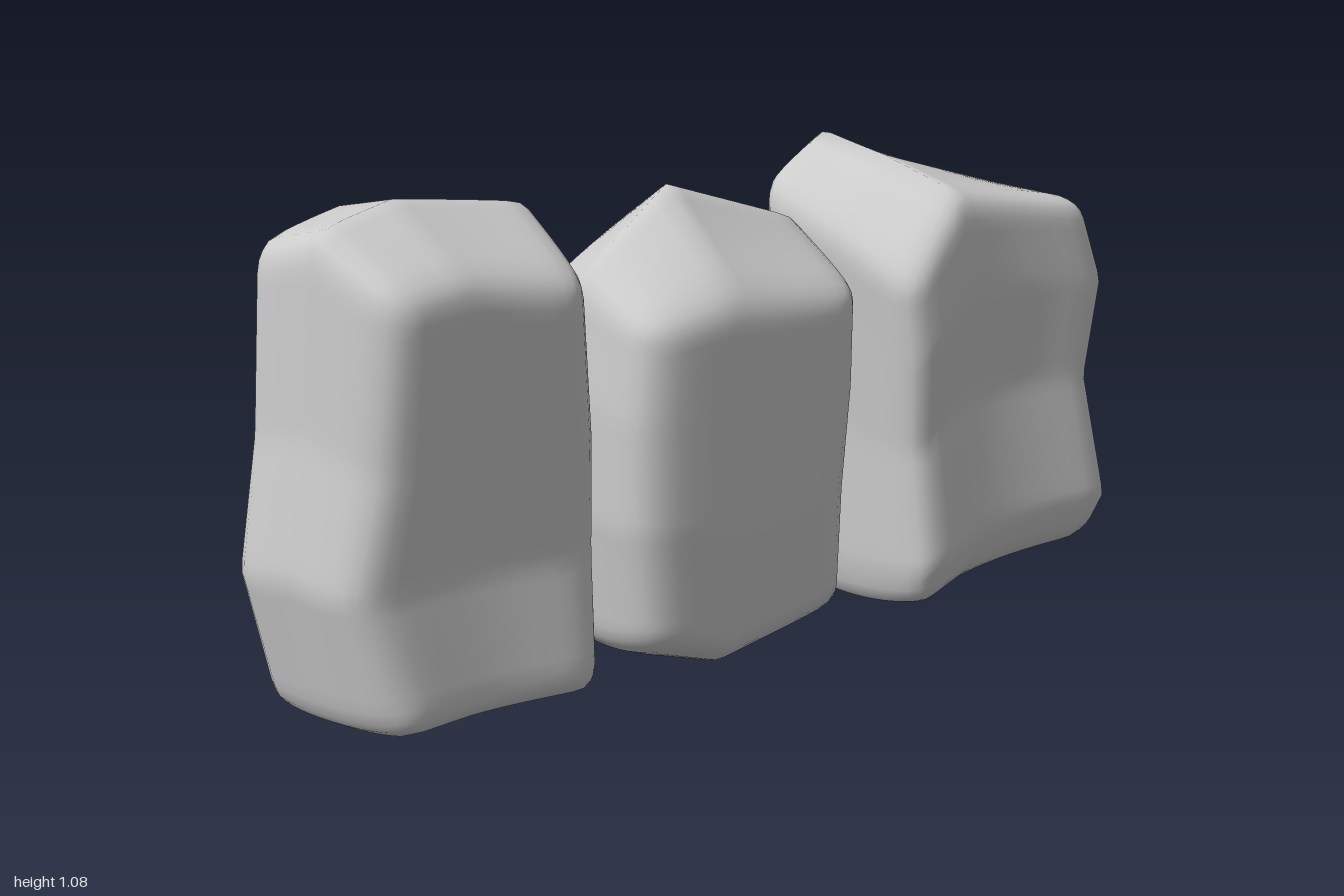
import * as THREE from 'three';
import { mergeVertices } from 'three/addons/utils/BufferGeometryUtils.js';

const { lerp, clamp } = THREE.MathUtils;
const material = new THREE.MeshStandardMaterial({ color: 0xcccccc, roughness: 0.9 });

// Value at s on a polyline through (-1, a), (knot, b), (1, c)
function bend([a, b, c], knot, s) {
  return s < knot ? lerp(a, b, (s + 1) / (knot + 1)) : lerp(b, c, (s - knot) / (1 - knot));
}

// Section [left, right, back, front] at height t
function sectionAt(rows, t) {
  let i = 0;
  while (i < rows.length - 2 && t > rows[i + 1][0]) i++;
  const [a, b] = [rows[i], rows[i + 1]];
  return [1, 2, 3, 4].map((k) => lerp(a[k], b[k], (t - a[0]) / (b[0] - a[0])));
}

// A block with rounded edges, fitted to its sections and to an uneven top and bottom.
// sections: rows of [height 0..1, left, right, back, front]
// top: heights in rows from back to front; bottom: heights back, middle, front
// peak: where the middle row lies; sag: rise of the bottom towards the sides
// skew: turn of the front face; pinch: hollow of the +x side; barrel: pull on the upright corners
function stone(name, { sections, top, bottom, peak, sag, skew, pinch, barrel }) {
  const half = new THREE.Vector3(0.23, 0.48, 0.28), radius = 0.055;
  let geometry = new THREE.BoxGeometry(0.46, 0.96, 0.56, 16, 32, 16);
  geometry.deleteAttribute('uv');
  geometry.deleteAttribute('normal');
  geometry = mergeVertices(geometry);
  const pos = geometry.attributes.position;
  const p = new THREE.Vector3(), inner = new THREE.Vector3();
  for (let i = 0; i < pos.count; i++) {
    // Round the edges
    p.fromBufferAttribute(pos, i);
    for (const axis of ['x', 'y', 'z']) inner[axis] = clamp(p[axis], radius - half[axis], half[axis] - radius);
    p.sub(inner).setLength(radius).add(inner).divide(half);
    // Fit to the sections, with a swollen -x side
    const { x: u, z: w } = p;
    const t = (p.y + 1) / 2;
    const fx = (u * (1 - barrel * w ** 4) + 1) / 2, fz = (w * (1 - barrel * u ** 4) + 1) / 2;
    const [left, right, back, front] = sectionAt(sections, t);
    const swell = (1 - w * w) * lerp(0.02, pinch, fx);
    const floor = bend(bottom, peak, w) + 0.015 * u + sag * u * u;
    const roof = bend(top.map((row) => bend(row, 0, u)), peak, w);
    pos.setXYZ(i, lerp(left, right, fx) - swell, lerp(floor, roof, t), lerp(back, front - skew * u, fz));
  }
  geometry.computeVertexNormals();
  const mesh = new THREE.Mesh(geometry, material);
  mesh.name = name;
  return mesh;
}

export function createModel() {
  const group = new THREE.Group();
  group.name = 'standingStones';

  // Flat-topped stone with a bulging front
  group.add(stone('frontStone', {
    sections: [
      [0, -0.19, 0.25, 0.38, 0.91],
      [0.32, -0.19, 0.21, 0.36, 0.98],
      [0.6, -0.2, 0.23, 0.37, 0.93],
      [1, -0.19, 0.26, 0.41, 0.91],
    ],
    top: [[0.96, 1.04, 0.92], [1.03, 1.085, 0.96], [0.99, 1.05, 0.95]],
    bottom: [0.04, 0.05, 0.05],
    peak: 0.25, sag: 0.02, skew: 0.04, pinch: 0.03, barrel: 0.09,
  }));

  // Stone with a pointed top and a rounded foot
  group.add(stone('middleStone', {
    sections: [
      [0, -0.2, 0.23, -0.26, 0.27],
      [0.38, -0.26, 0.25, -0.26, 0.31],
      [0.7, -0.23, 0.25, -0.28, 0.31],
      [1, -0.2, 0.25, -0.28, 0.29],
    ],
    top: [[0.79, 0.9, 0.79], [0.87, 1.025, 0.83], [0.78, 0.87, 0.8]],
    bottom: [0.06, 0.005, 0.07],
    peak: 0.25, sag: 0.04, skew: 0, pinch: 0, barrel: 0.07,
  }));

  // Stone with a slanted front shoulder, a low back corner and a hollow side
  group.add(stone('backStone', {
    sections: [
      [0, -0.2, 0.25, -0.96, -0.43],
      [0.13, -0.21, 0.28, -1, -0.41],
      [0.48, -0.22, 0.25, -0.95, -0.4],
      [0.76, -0.23, 0.27, -0.97, -0.38],
      [1, -0.21, 0.26, -0.9, -0.36],
    ],
    top: [[0.73, 0.88, 0.9], [1.03, 1, 0.95], [0.94, 0.87, 0.78]],
    bottom: [0.06, 0.03, 0],
    peak: 0.375, sag: 0.035, skew: 0.025, pinch: 0.045, barrel: 0.03,
  }));

  return group;
}
